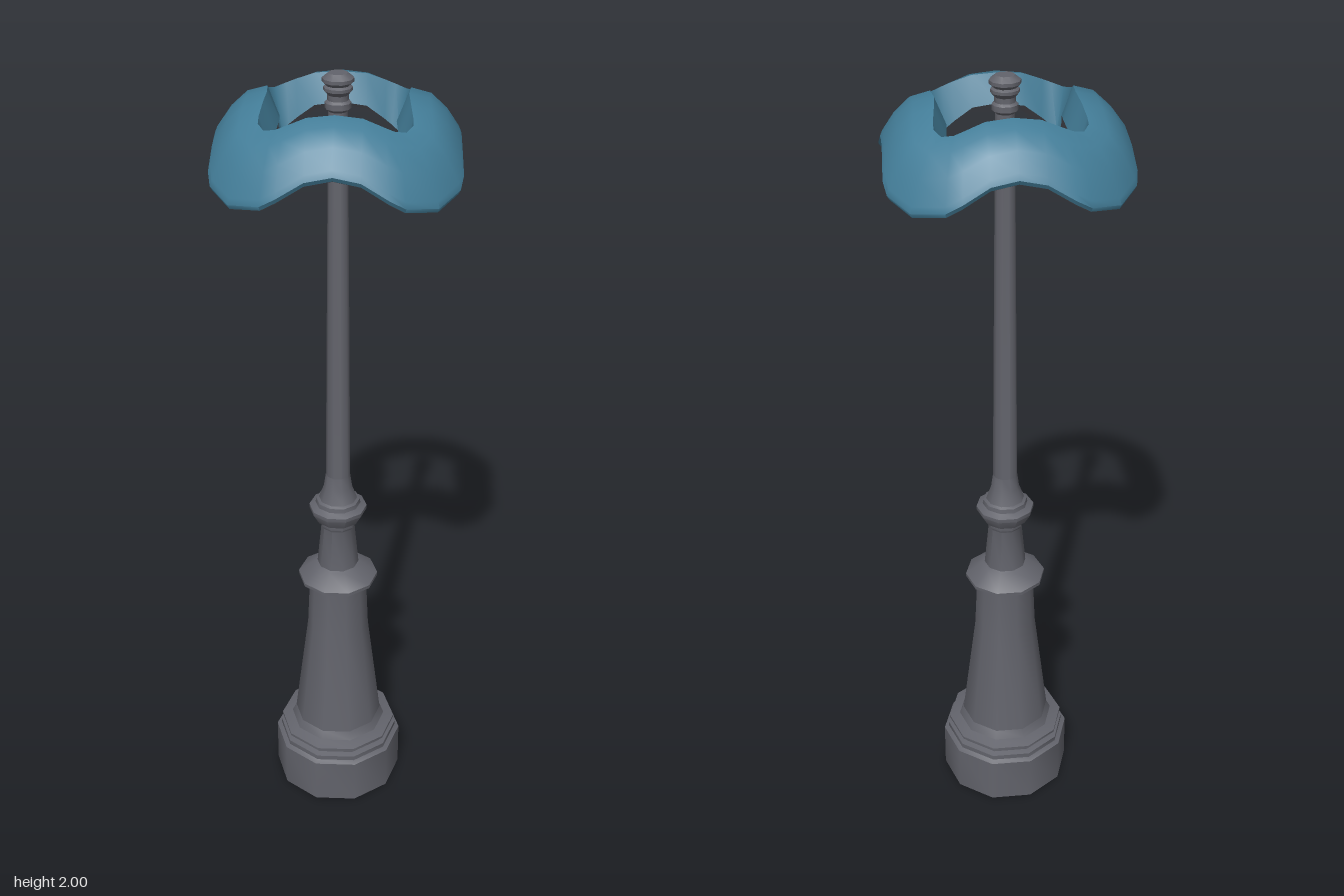
import * as THREE from 'three';
import { toCreasedNormals } from 'three/addons/utils/BufferGeometryUtils.js';

const iron = new THREE.MeshStandardMaterial({ color: 0x62636b });
iron.name = 'dark iron grey';
const blue = new THREE.MeshStandardMaterial({ color: 0x437d98 });
blue.name = 'slate blue';

// Ten-sided turned part from [radius, height] pairs, bottom to top
function turned(name, profile) {
  const points = profile.map(([r, y]) => new THREE.Vector2(r, y));
  const lathe = new THREE.LatheGeometry(points, 10, Math.PI / 2);
  const mesh = new THREE.Mesh(toCreasedNormals(lathe, 0.66), iron);
  mesh.name = name;
  return mesh;
}

// Half of one side of the wavy ring, as
// [inner depth, inner offset, outer depth, outer offset, drop]
const half = [
  [0.130, 0.00, 0.275, 0.000, 0.000],
  [0.135, 0.06, 0.276, 0.060, 0.012],
  [0.141, 0.10, 0.279, 0.120, 0.048],
  [0.143, 0.12, 0.272, 0.155, 0.068],
];
const corner = [0.136, 0.136, 0.226, 0.226, 0.083];

function ringStations() {
  const mirrored = half.slice(1).reverse().map(([a, b, c, d, e]) => [a, -b, c, -d, e]);
  const side = [...mirrored, ...half, corner];
  const stations = [];
  for (let k = 0; k < 4; k++) {
    const c = Math.round(Math.cos(k * Math.PI / 2));
    const s = Math.round(Math.sin(k * Math.PI / 2));
    const turn = (x, z) => [x * c - z * s, x * s + z * c];
    for (const [a, b, d, e, drop] of side) {
      stations.push({ inner: turn(a, b), outer: turn(d, e), drop });
    }
  }
  return stations;
}

// Sweep a section of [inner-to-outer fraction, height, share of drop] around the ring
function ringSurface(name, section, material) {
  const stations = ringStations();
  const n = section.length;
  const positions = [];
  const index = [];
  stations.forEach(({ inner, outer, drop }, i) => {
    for (const [f, y, share] of section) {
      positions.push(
        inner[0] + (outer[0] - inner[0]) * f,
        y - drop * share,
        inner[1] + (outer[1] - inner[1]) * f
      );
    }
    const next = (i + 1) % stations.length;
    for (let j = 0; j < n - 1; j++) {
      const a = i * n + j;
      const b = next * n + j;
      index.push(a, b, a + 1, b, b + 1, a + 1);
    }
  });
  const geometry = new THREE.BufferGeometry();
  geometry.setAttribute('position', new THREE.Float32BufferAttribute(positions, 3));
  geometry.setIndex(index);
  const mesh = new THREE.Mesh(toCreasedNormals(geometry, 0.85), material);
  mesh.name = name;
  return mesh;
}

export function createModel() {
  const lamp = new THREE.Group();
  lamp.name = 'lampPost';

  lamp.add(turned('base', [
    [0, 0], [0.172, 0], [0.172, 0.127], [0.160, 0.133], [0.160, 0.146],
    [0.145, 0.150], [0.145, 0.160], [0.156, 0.163], [0.156, 0.170], [0.128, 0.178], [0.117, 0.20],
  ]));
  lamp.add(turned('lowerColumn', [
    [0.117, 0.20], [0.081, 0.50], [0.075, 0.635], [0.082, 0.638],
    [0.082, 0.650], [0.104, 0.655], [0.104, 0.664], [0.062, 0.697], [0.054, 0.70],
  ]));
  lamp.add(turned('neck', [
    [0.054, 0.70], [0.043, 0.815], [0.047, 0.822], [0.047, 0.835], [0.058, 0.838],
    [0.074, 0.866], [0.074, 0.876], [0.058, 0.884], [0.056, 0.895], [0.049, 0.899],
    [0.036, 0.935], [0.031, 0.97],
  ]));
  lamp.add(turned('pole', [[0.031, 0.97], [0.023, 1.85], [0.022, 1.92]]));
  lamp.add(turned('finial', [
    [0.022, 1.915], [0.030, 1.922], [0.030, 1.935], [0.024, 1.940], [0.024, 1.952],
    [0.033, 1.962], [0.033, 1.969], [0.027, 1.973], [0.036, 1.981], [0.036, 1.989],
    [0.022, 2.0], [0, 2.0],
  ]));

  // Wavy square ring: high at the middle of each side, low at the corners
  const ring = new THREE.Group();
  ring.name = 'wavyRing';
  ring.add(ringSurface('ringTop', [
    [0, 1.893, 0.85], [0.18, 1.956, 0.45], [0.5, 1.946, 0.6], [0.76, 1.915, 0.8],
    [0.96, 1.876, 1], [1, 1.862, 1], [0.96, 1.852, 1],
  ], blue));
  ring.add(ringSurface('ringUnderside', [
    [0.96, 1.852, 1], [0.88, 1.847, 1], [0, 1.893, 0.85],
  ], iron));
  lamp.add(ring);

  return lamp;
}
